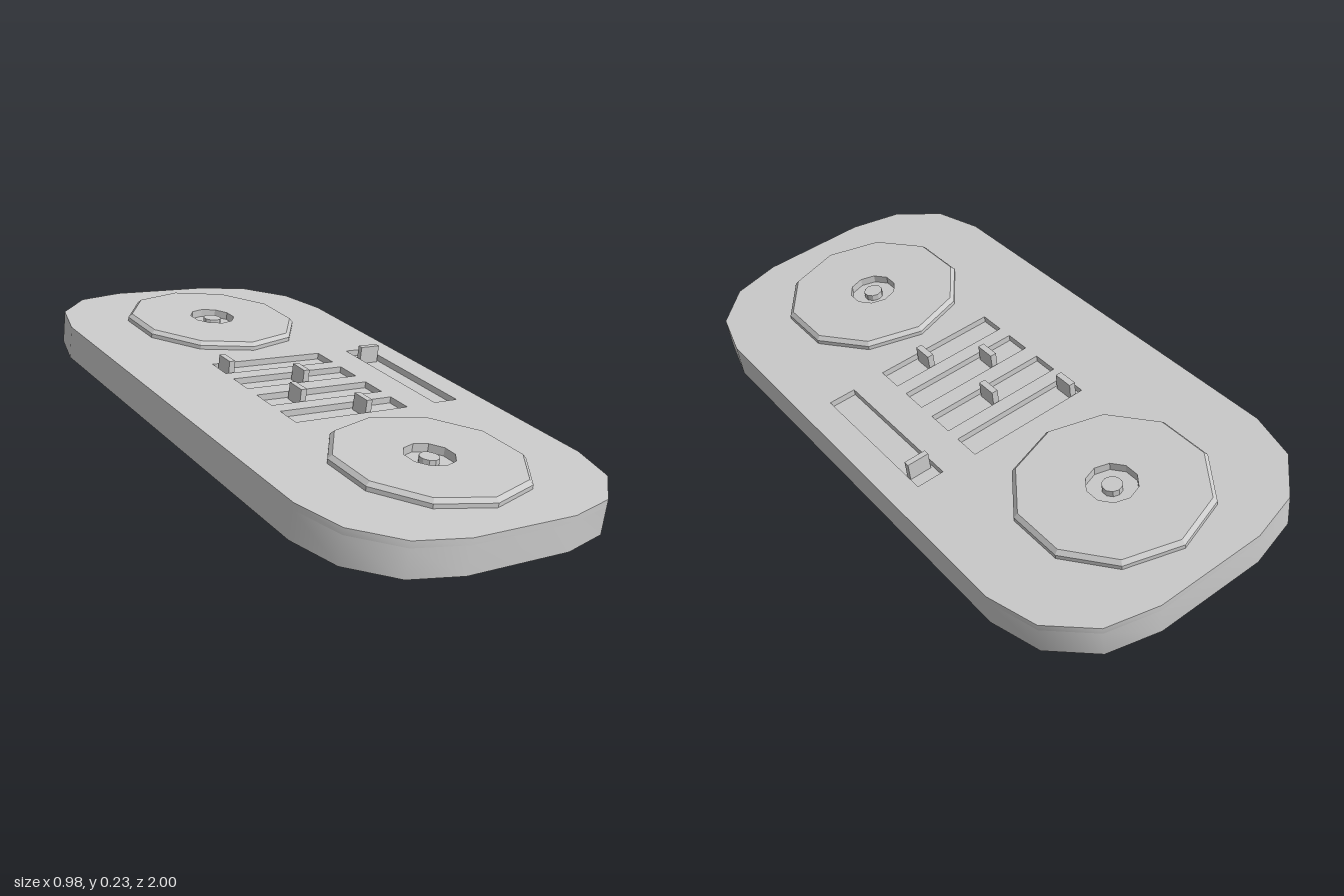
import * as THREE from 'three';
import { toCreasedNormals } from 'three/addons/utils/BufferGeometryUtils.js';

const W = 0.974, L = 2, H = 0.105, R = 0.315, SLOT = 0.02, TILT = 0.134;

// Rounded rectangle outline with three facets per corner
function outline() {
  const pts = [];
  const corners = [[1, 1], [-1, 1], [-1, -1], [1, -1]];
  corners.forEach(([sx, sy], c) => {
    for (let i = 0; i <= 3; i++) {
      const a = (c + i / 3) * Math.PI / 2;
      pts.push(new THREE.Vector2(
        sx * (W / 2 - R) + R * Math.cos(a),
        sy * (L / 2 - R) + R * Math.sin(a)));
    }
  });
  return new THREE.Shape(pts);
}

function slotHole(x, z, w, l) {
  const a = x - w / 2, b = x + w / 2, c = -z - l / 2, d = -z + l / 2;
  return new THREE.Path([[a, c], [a, d], [b, d], [b, c]].map(p => new THREE.Vector2(...p)));
}

// Extrude a plan shape upwards from height y
function slab(shape, y, depth) {
  const g = new THREE.ExtrudeGeometry(shape, { depth, bevelEnabled: false });
  g.rotateX(-Math.PI / 2).translate(0, y, 0);
  return toCreasedNormals(g, 0.6);
}

export function createModel() {
  const model = new THREE.Group();
  model.name = 'mixingDeck';
  const deck = new THREE.Group();
  deck.name = 'tiltedDeck';
  deck.rotation.z = -TILT;
  deck.position.set(-0.007, 0.065, 0);
  model.add(deck);

  const smooth = new THREE.MeshStandardMaterial({ color: 0xcccccc });
  const flat = new THREE.MeshStandardMaterial({ color: 0xcccccc, flatShading: true });
  const add = (name, geometry, material, x = 0, y = 0, z = 0) => {
    const mesh = new THREE.Mesh(geometry, material);
    mesh.name = name;
    mesh.position.set(x, y, z);
    deck.add(mesh);
  };

  // Body: solid base below a top plate pierced by the slots
  const sliders = [[-0.174, -0.203], [0.016, -0.07], [-0.084, 0.07], [0.062, 0.203]];
  const top = outline();
  sliders.forEach(([, z]) => top.holes.push(slotHole(0, z, 0.4, 0.085)));
  top.holes.push(slotHole(0.353, 0, 0.087, 0.48));
  add('base', slab(outline(), 0, H - SLOT), smooth);
  add('topPlate', slab(top, H - SLOT, SLOT), smooth);

  // Ten-sided platters with a centre well and spindle
  const profile = [[0.288, 0], [0.288, 0.013], [0.276, 0.025], [0.075, 0.025], [0.075, 0]]
    .map(p => new THREE.Vector2(...p));
  for (const z of [-0.615, 0.604]) {
    add('platter', new THREE.LatheGeometry(profile, 10), flat, 0, H, z);
    add('spindle', new THREE.CylinderGeometry(0.03, 0.03, 0.02, 10), flat, 0, H + 0.01, z);
  }

  // Slider knobs standing on the slot floors
  const knob = (name, x, z, w, l, rise) => {
    const h = rise + SLOT;
    add(name, new THREE.BoxGeometry(w, h, l), flat, x, H - SLOT + h / 2, z);
  };
  sliders.forEach(([x, z]) => knob('sliderKnob', x, z, 0.02, 0.065, 0.034));
  knob('crossfaderKnob', 0.352, -0.176, 0.07, 0.018, 0.037);

  return model;
}
